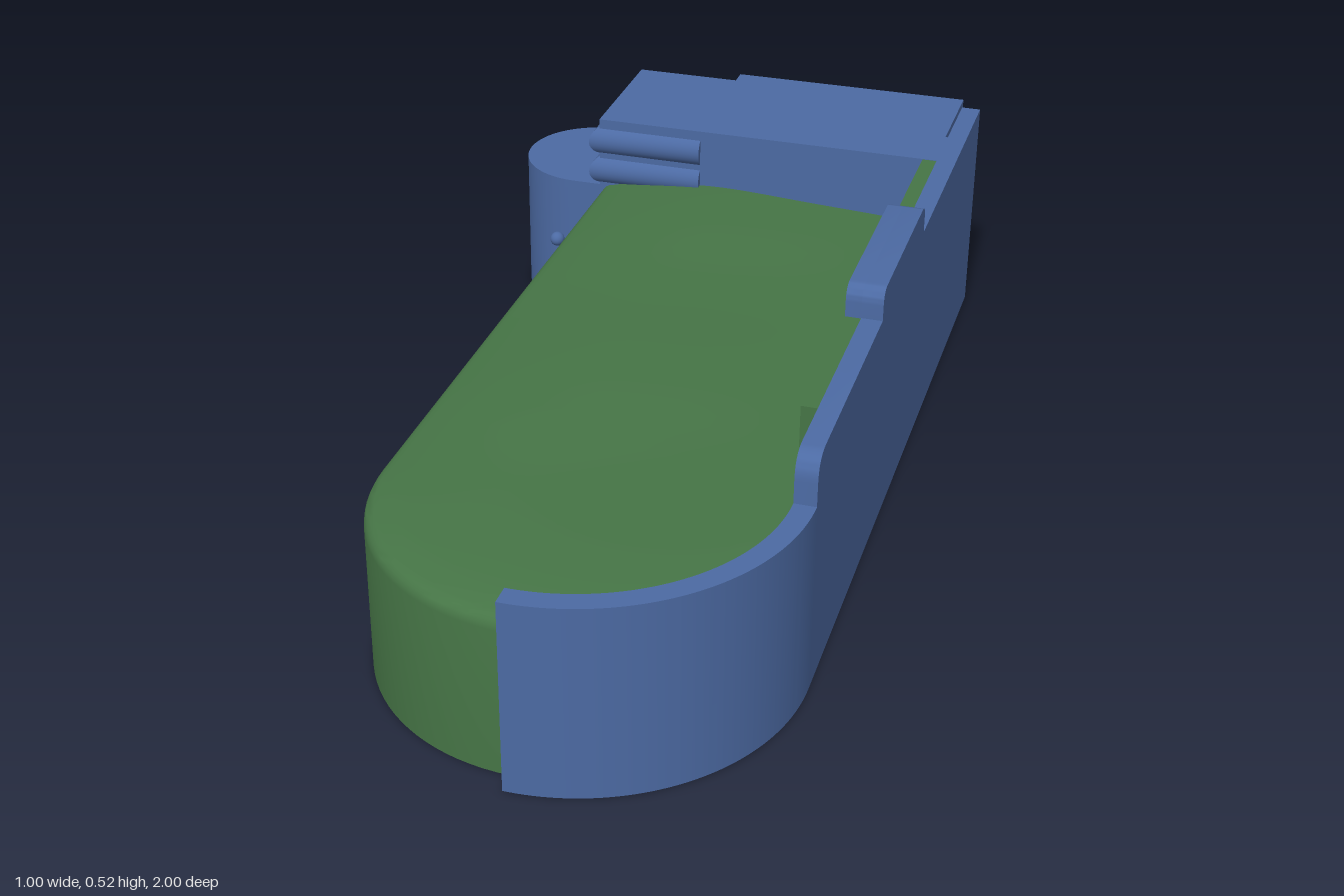
import * as THREE from 'three';
import { toCreasedNormals } from 'three/addons/utils/BufferGeometryUtils.js';

const blue = new THREE.MeshStandardMaterial({ color: 0x4c6aa3 });
const green = new THREE.MeshStandardMaterial({ color: 0x467546 });

// Skin between successive rings of [x, y, z] points
function loft(rings, crease) {
  const n = rings[0].length, index = [];
  for (let i = 0; i < rings.length - 1; i++) {
    for (let j = 0; j < n - 1; j++) {
      const a = i * n + j, b = a + n;
      index.push(a, b, a + 1, b, b + 1, a + 1);
    }
  }
  const geo = new THREE.BufferGeometry();
  geo.setAttribute('position', new THREE.Float32BufferAttribute(rings.flat(2), 3));
  geo.setIndex(index);
  return toCreasedNormals(geo, crease);
}

// Extrude a (z, y) outline inward from x = 0.5 or another outer face
function sidePanel(shape, outerX, thickness) {
  const geo = new THREE.ExtrudeGeometry(shape, { depth: thickness, bevelEnabled: false, curveSegments: 10 });
  geo.rotateY(-Math.PI / 2).translate(outerX, 0, 0);
  return toCreasedNormals(geo, 0.6);
}

// Extrude an (x, z) outline upward from the floor
function upright(shape, height) {
  const geo = new THREE.ExtrudeGeometry(shape, { depth: height, bevelEnabled: false, curveSegments: 32 });
  geo.rotateX(Math.PI / 2).translate(0, height, 0);
  return toCreasedNormals(geo, 0.6);
}

// Upright rectangle with rounded top corners, in (z, y)
function archOutline(path, z0, z1, y0, y1, r) {
  path.moveTo(z0, y0);
  path.lineTo(z1, y0);
  path.lineTo(z1, y1 - r);
  path.quadraticCurveTo(z1, y1, z1 - r, y1);
  path.lineTo(z0 + r, y1);
  path.quadraticCurveTo(z0, y1, z0, y1 - r);
  path.closePath();
  return path;
}

function mattressGeometry() {
  const cx = 0.09, cz = 0.59, R = 0.37, back = -0.65, outline = [];
  for (let i = 0; i < 32; i++) outline.push([cx + R, back + (cz - back) * i / 32]);
  for (let i = 0; i <= 48; i++) {
    const a = Math.PI * i / 48;
    outline.push([cx + R * Math.cos(a), cz + R * Math.sin(a)]);
  }
  for (let i = 31; i >= 0; i--) outline.push([cx - R, back + (cz - back) * i / 32]);

  // Ring shrunk towards the spine by t
  const ring = (t, height) => outline.map(([x, z]) => {
    const sz = Math.min(z, cz);
    const px = cx + (x - cx) * t, pz = sz + (z - sz) * t;
    return [px, height(px, pz), pz];
  });
  const rings = [ring(0, () => 0), ring(1, () => 0), ring(1, () => 0.285)];
  for (let i = 1; i <= 5; i++) {
    const a = Math.PI / 2 * i / 5;
    rings.push(ring(1 - 0.07 * (1 - Math.cos(a)), () => 0.285 + 0.027 * Math.sin(a)));
  }
  // Soft, slightly wavy top
  for (let i = 1; i <= 14; i++) {
    const t = 0.93 * (1 - i / 14), u = 1 - (t / 0.93) ** 2;
    rings.push(ring(t, (x, z) => 0.312 + 0.014 * Math.sqrt(u)
      + u * (0.016 * Math.exp(-(((x + 0.08) / 0.22) ** 2)) * (z < 0.4 ? 1 : Math.max(0, 1 - (z - 0.4) * 2))
      + 0.003 * Math.sin(z * 9 + x * 2))));
  }
  return loft(rings, 0.7);
}

// Slab with a half-round edge on three mitred sides
function bullnoseGeometry(y) {
  const r = 0.035, rings = [];
  for (let i = 0; i <= 14; i++) {
    const a = -Math.PI / 2 + Math.PI * i / 14;
    const inset = r * (1 - Math.cos(a)), h = y + r * Math.sin(a);
    const x = -0.305 + inset, front = -0.635 - inset, rear = -0.98 + inset;
    rings.push([[-0.055, h, front], [x, h, front], [x, h, rear], [-0.055, h, rear], [-0.055, h, front]]);
  }
  return loft(rings, 0.6);
}

export function createModel() {
  const group = new THREE.Group();
  const add = (name, geo, mat = blue) => {
    const mesh = new THREE.Mesh(geo, mat);
    mesh.name = name;
    group.add(mesh);
    return mesh;
  };
  const box = (name, x0, x1, y0, y1, z0, z1, mat = blue) =>
    add(name, new THREE.BoxGeometry(x1 - x0, y1 - y0, z1 - z0), mat)
      .position.set((x0 + x1) / 2, (y0 + y1) / 2, (z0 + z1) / 2);

  add('mattress', mattressGeometry(), green);

  // Long side wall with its stepped top
  const wall = new THREE.Shape();
  wall.moveTo(-0.955, 0);
  wall.lineTo(0.59, 0);
  wall.lineTo(0.59, 0.415);
  wall.quadraticCurveTo(0.59, 0.465, 0.54, 0.465);
  wall.lineTo(0.09, 0.465);
  wall.lineTo(0.09, 0.495);
  wall.quadraticCurveTo(0.09, 0.525, 0.06, 0.525);
  wall.lineTo(-0.27, 0.525);
  wall.quadraticCurveTo(-0.3, 0.525, -0.3, 0.495);
  wall.lineTo(-0.3, 0.465);
  wall.lineTo(-0.955, 0.465);
  wall.closePath();
  add('sideWall', sidePanel(wall, 0.5, 0.04));

  // Curved wall around the foot
  const foot = new THREE.Shape();
  foot.absarc(0.09, 0.59, 0.41, 0, Math.PI / 2, false);
  foot.absarc(0.09, 0.59, 0.37, Math.PI / 2, 0, true);
  foot.closePath();
  add('footWall', upright(foot, 0.372));

  // Raised frame on the inside of the wall
  const frame = archOutline(new THREE.Shape(), -0.3, 0.09, 0.26, 0.525, 0.03);
  frame.holes.push(archOutline(new THREE.Path(), -0.28, 0.07, 0.28, 0.505, 0.025));
  add('nicheFrame', sidePanel(frame, 0.46, 0.03));

  // Padded panels either side of the frame
  box('rearSidePad', 0.43, 0.46, 0.05, 0.464, -0.65, -0.3, green);
  box('frontSidePad', 0.43, 0.46, 0.05, 0.464, 0.09, 0.43, green);

  // Headboard cabinet, open at the back
  box('cabinetFront', -0.06, 0.46, 0, 0.465, -0.78, -0.65);
  box('cabinetTop', -0.06, 0.455, 0.447, 0.465, -1, -0.78);
  box('cabinetBottom', -0.06, 0.455, 0, 0.018, -1, -0.78);
  box('cabinetLeftSide', 0.435, 0.46, 0.018, 0.447, -1, -0.78);
  box('cabinetRightSide', -0.06, -0.038, 0.018, 0.447, -1, -0.78);
  box('cabinetShelf', -0.038, 0.435, 0.268, 0.28, -0.985, -0.78);
  box('cabinetEnd', -0.285, -0.06, 0, 0.465, -0.96, -0.65);

  // Rounded slabs wrapping the cabinet end
  [0.345, 0.415].forEach((y) => add('roundedSlab', bullnoseGeometry(y)));

  // Round-ended bedside table
  const table = new THREE.Shape();
  table.moveTo(-0.28, -0.96);
  table.lineTo(-0.28, -0.65);
  table.lineTo(-0.345, -0.65);
  table.absarc(-0.345, -0.805, 0.155, Math.PI / 2, Math.PI * 1.5, false);
  table.closePath();
  add('bedsideTable', upright(table, 0.31));

  // Door knob on a short stem
  add('knob', new THREE.SphereGeometry(0.016, 20, 14)).position.set(-0.385, 0.165, -0.642);
  const stem = new THREE.CylinderGeometry(0.008, 0.008, 0.03, 12).rotateX(Math.PI / 2);
  add('knobStem', stem).position.set(-0.385, 0.165, -0.66);

  return group;
}
